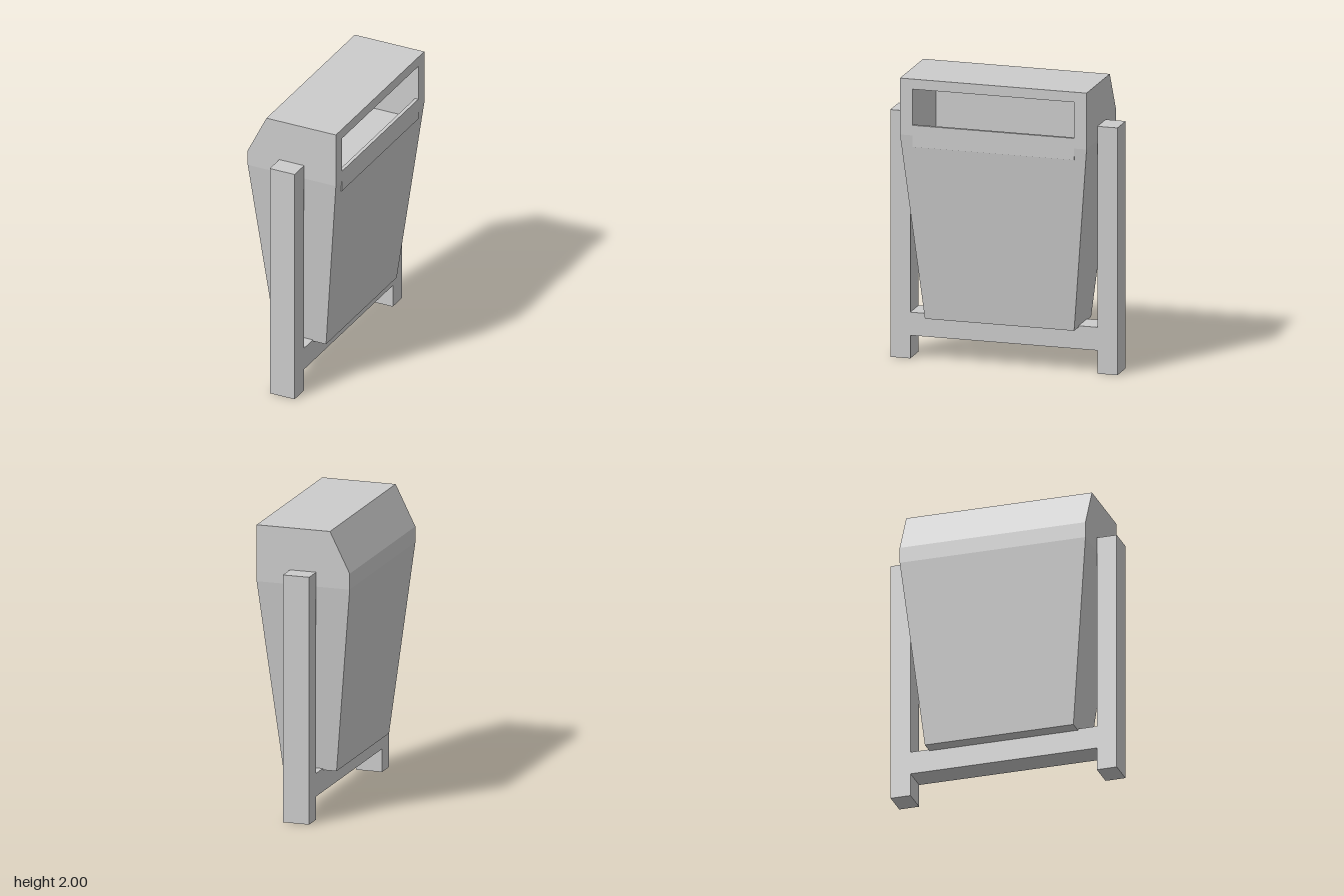
import * as THREE from 'three';

const material = new THREE.MeshStandardMaterial({ color: 0xcccccc, flatShading: true });

function add(group, name, geometry) {
  const mesh = new THREE.Mesh(geometry, material);
  mesh.name = name;
  group.add(mesh);
  return mesh;
}

// Extrude an outline in the xy plane between two z values
function slab(points, z0, z1) {
  const shape = new THREE.Shape(points.map(([x, y]) => new THREE.Vector2(x, y)));
  return new THREE.ExtrudeGeometry(shape, { depth: z1 - z0, bevelEnabled: false }).translate(0, 0, z0);
}

// Box given by its lower and upper corners
function block([x0, y0, z0], [x1, y1, z1]) {
  return new THREE.BoxGeometry(x1 - x0, y1 - y0, z1 - z0)
    .translate((x0 + x1) / 2, (y0 + y1) / 2, (z0 + z1) / 2);
}

// Tapered container, open at the top where the head sits
function taperedTub(y0, y1, bottom, top) {
  const geometry = new THREE.BoxGeometry(2, 1, 2);
  const pos = geometry.attributes.position;
  for (let i = 0; i < pos.count; i++) {
    const upper = pos.getY(i) > 0;
    const [hx, hz] = upper ? top : bottom;
    pos.setXYZ(i, pos.getX(i) * hx, upper ? y1 : y0, pos.getZ(i) * hz);
  }
  const index = Array.from(geometry.index.array);
  index.splice(12, 6); // remove the top face
  geometry.setIndex(index);
  geometry.clearGroups();
  geometry.computeVertexNormals();
  return geometry;
}

export function createModel() {
  const model = new THREE.Group();
  model.name = 'litterBin';

  // H-shaped stand: two posts joined by a crossbar
  const stand = slab([
    [-0.795, 0], [-0.655, 0], [-0.655, 0.16], [0.655, 0.16], [0.655, 0], [0.795, 0],
    [0.795, 1.71], [0.655, 1.71], [0.655, 0.32], [-0.655, 0.32], [-0.655, 1.71], [-0.795, 1.71],
  ], -0.093, 0.093).rotateY(Math.PI / 2);
  add(model, 'stand', stand);

  // Container
  add(model, 'tub', taperedTub(0.31, 1.61, [0.19, 0.522], [0.33, 0.653]));

  // Head: chamfered hood with a deep slot in its +x side
  const head = new THREE.Group();
  head.name = 'head';
  model.add(head);
  const hood = [[-0.33, 1.61], [-0.33, 1.72], [-0.19, 2], [0.33, 2]];
  add(head, 'hood', slab([
    ...hood, [0.33, 1.93], [-0.19, 1.93], [-0.19, 1.53], [0.31, 1.53],
    [0.31, 1.51], [-0.21, 1.51], [-0.21, 1.61],
  ], -0.565, 0.565));
  for (const side of [-1, 1]) {
    const [z0, z1] = side > 0 ? [0.565, 0.653] : [-0.653, -0.565];
    add(head, 'endPanel', slab([...hood, [0.33, 1.61]], z0, z1));
    // Lower end of the slot, inside the tub
    const [l0, l1] = side > 0 ? [0.565, 0.62] : [-0.62, -0.565];
    add(head, 'slotLiner', block([-0.21, 1.51, l0], [0.31, 1.61, l1]));
  }

  // Upright lip below the opening
  add(head, 'slotLip', block([0.305, 1.53, -0.565], [0.33, 1.68, 0.565]));

  return model;
}
